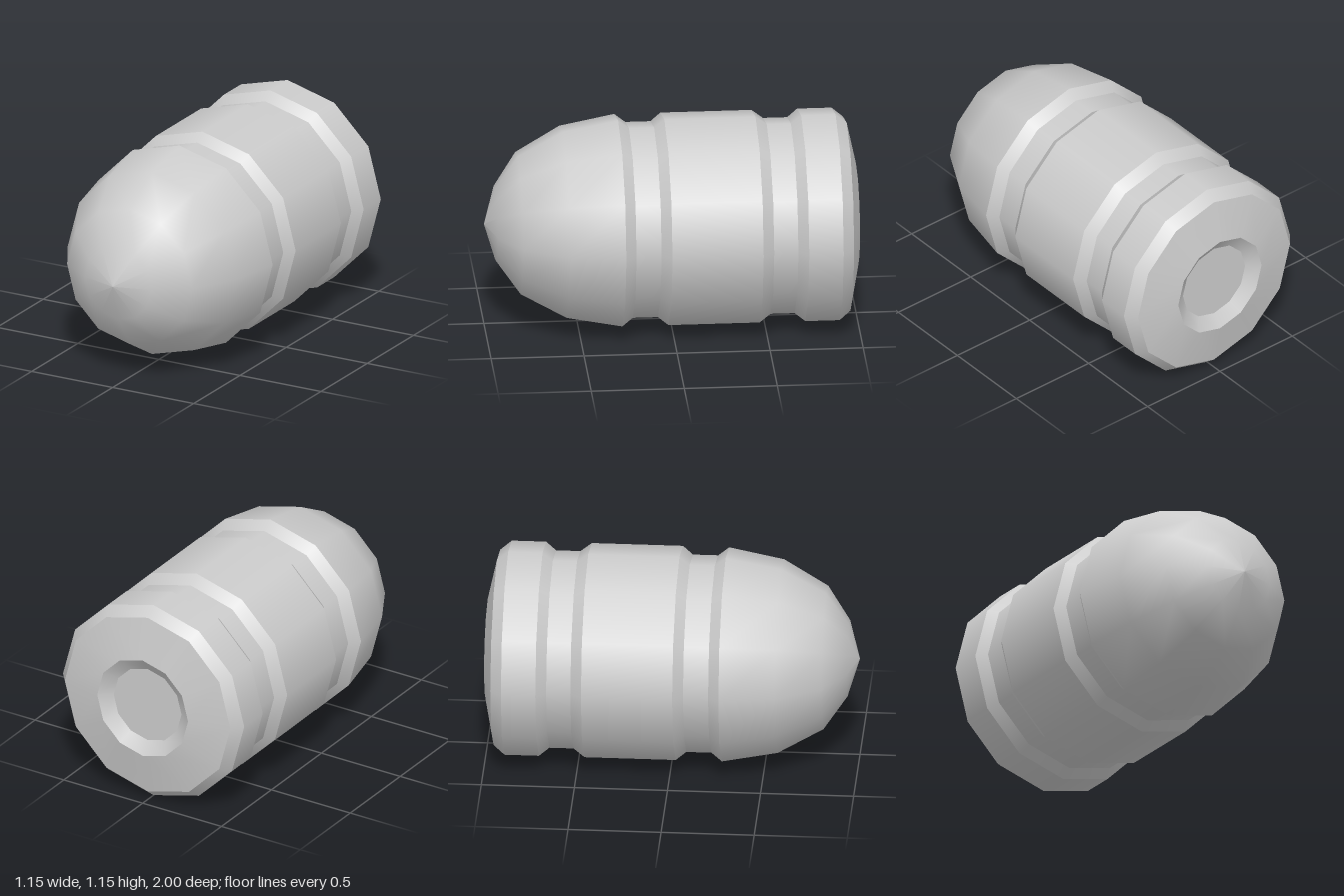
import * as THREE from 'three';

const SIDES = 12;
const RADIUS = 0.575;
const GROOVE = 0.53;

// Each band is a run of [radius, z] points, listed from back to front.
// Normals are smooth within a band and sharp between bands.
const bands = [
  ['recessFloor', [[0, -0.95], [0.215, -0.95]]],
  ['recessWall', [[0.215, -0.95], [0.288, -1]]],
  ['baseFace', [[0.288, -1], [0.525, -0.95]]],
  ['baseChamfer', [[0.525, -0.95], [RADIUS, -0.89]]],
  ['baseRim', [[RADIUS, -0.89], [RADIUS, -0.705]]],
  ['rearGrooveBackSlope', [[RADIUS, -0.705], [GROOVE, -0.65]]],
  ['rearGroove', [[GROOVE, -0.65], [GROOVE, -0.52]]],
  ['rearGrooveFrontSlope', [[GROOVE, -0.52], [RADIUS, -0.46]]],
  ['body', [[RADIUS, -0.46], [RADIUS, 0.03]]],
  ['frontGrooveBackSlope', [[RADIUS, 0.03], [GROOVE, 0.085]]],
  ['frontGroove', [[GROOVE, 0.085], [GROOVE, 0.22]]],
  ['frontGrooveFrontSlope', [[GROOVE, 0.22], [RADIUS, 0.278]]],
  ['nose', [[RADIUS, 0.278], [0.52, 0.575], [0.385, 0.817], [0.205, 0.94], [0, 1]]],
];

export function createModel() {
  const group = new THREE.Group();
  group.name = 'roundNosedSlug';
  const material = new THREE.MeshStandardMaterial({ color: 0xcccccc });

  for (const [name, profile] of bands) {
    const points = profile.map(([r, z]) => new THREE.Vector2(r, z));
    const geometry = new THREE.LatheGeometry(points, SIDES);
    geometry.rotateX(Math.PI / 2); // lay the axis along z, nose forward
    geometry.translate(0, RADIUS, 0);
    const mesh = new THREE.Mesh(geometry, material);
    mesh.name = name;
    group.add(mesh);
  }
  return group;
}
